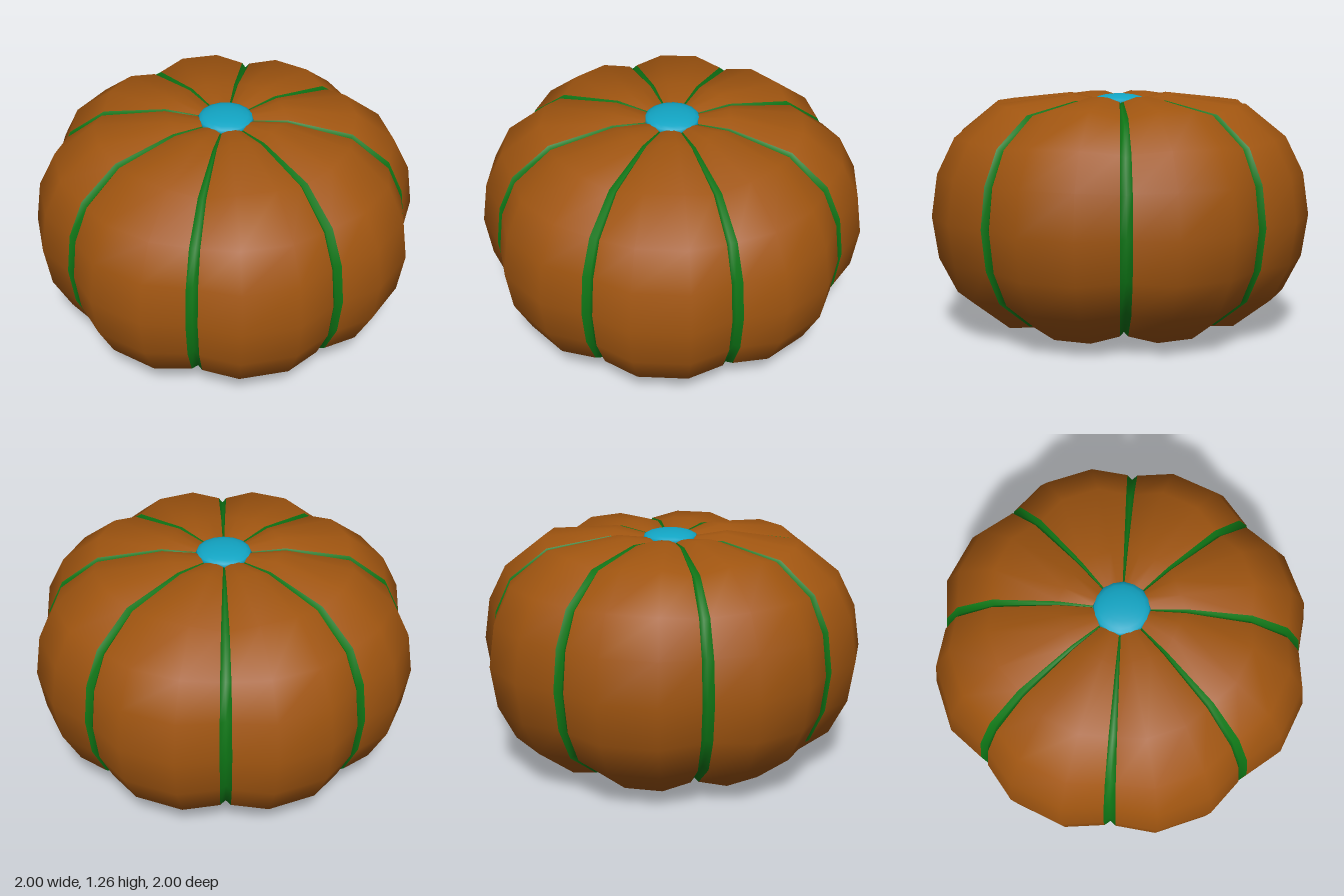
import * as THREE from 'three';

const MID = 0.635;    // height of the equator
const SEGMENTS = 8;
const SEAM = 1.8;     // half width of a seam, degrees

// Upper half profiles, equator to crown: [radius, height above equator]
const RIDGE = [[1.033, 0], [1.0, 0.225], [0.905, 0.415], [0.69, 0.585], [0.305, 0.63], [0.13, 0.6]];
const RIM = [[0.975, 0], [0.947, 0.215], [0.865, 0.395], [0.665, 0.55], [0.325, 0.607], [0.13, 0.59]];
const GROOVE = [[0.95, 0], [0.923, 0.207], [0.845, 0.38], [0.65, 0.53], [0.32, 0.59], [0.13, 0.578]];

// Mirror a half profile to run from the underside to the crown
const full = (half) => [...half.slice(1).reverse().map(([r, h]) => [r, -h]), ...half];

// Skin between columns, each a profile turned to an angle in degrees
function skin(columns) {
  const profiles = columns.map(([half, deg]) => [full(half), THREE.MathUtils.degToRad(deg)]);
  const rows = profiles[0][0].length, n = columns.length;
  const position = [], index = [];
  for (let i = 0; i < rows; i++) {
    for (const [profile, a] of profiles) {
      const [r, h] = profile[i];
      position.push(r * Math.sin(a), MID + h, r * Math.cos(a));
    }
  }
  for (let i = 0; i < rows - 1; i++) {
    for (let j = 0; j < n - 1; j++) {
      const a = i * n + j, b = a + 1, c = a + n, d = c + 1;
      index.push(a, b, d, a, d, c);
    }
  }
  const geometry = new THREE.BufferGeometry();
  geometry.setAttribute('position', new THREE.Float32BufferAttribute(position, 3));
  geometry.setIndex(index);
  geometry.computeVertexNormals();
  return geometry;
}

export function createModel() {
  const model = new THREE.Group();
  model.name = 'pouffe';
  const material = (color) => new THREE.MeshStandardMaterial({ color, side: THREE.DoubleSide });
  const brown = material(0xa05510), green = material(0x0e7515), blue = material(0x12a5c4);

  const add = (name, geometry, mat) => {
    const mesh = new THREE.Mesh(geometry, mat);
    mesh.name = name;
    model.add(mesh);
    return mesh;
  };

  // Padded segments with a sunken seam between each pair
  const half = 180 / SEGMENTS;
  const padded = skin([[RIM, -half + SEAM], [RIDGE, -8.3], [RIDGE, 8.3], [RIM, half - SEAM]]);
  const groove = skin([[RIM, -SEAM], [GROOVE, 0], [RIM, SEAM]]);
  for (let k = 0; k < SEGMENTS; k++) {
    const turn = (k * 2 * Math.PI) / SEGMENTS;
    add('seam', groove, green).rotation.y = turn;
    add('paddedSegment', padded, brown).rotation.y = turn + Math.PI / SEGMENTS;
  }

  // Domed buttons covering the crown and the underside
  const dome = new THREE.SphereGeometry(0.147, 16, 10);
  for (const [name, s] of [['topButton', 1], ['bottomButton', -1]]) {
    const button = add(name, dome, blue);
    button.scale.y = 0.27;
    button.position.y = MID + s * 0.592;
  }

  return model;
}
